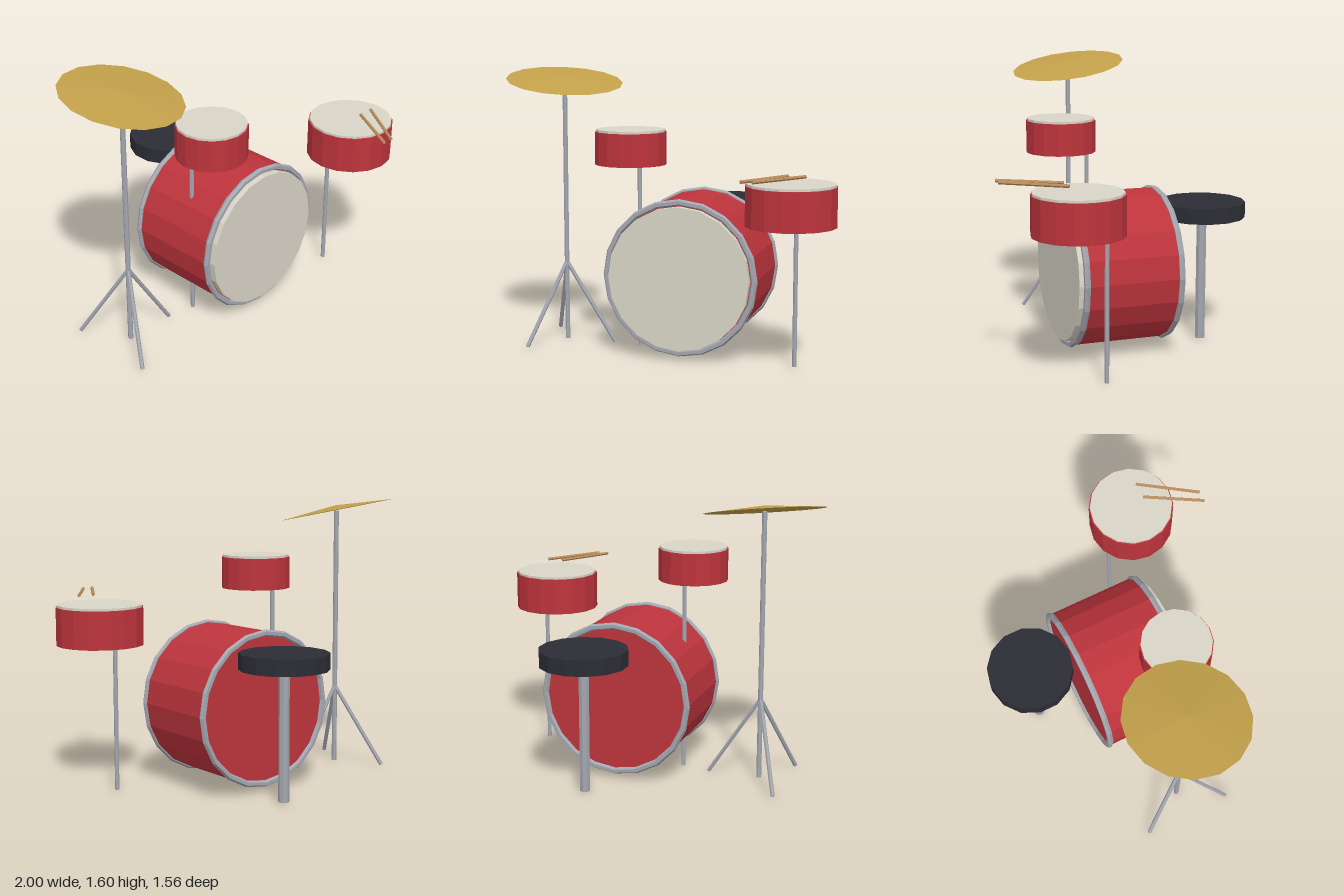
import * as THREE from 'three';

const mat = (name, color) => {
  const m = new THREE.MeshStandardMaterial({ color, flatShading: true });
  m.name = name;
  return m;
};

export function createModel() {
  const red = mat('red shell', 0xbd343c);
  const skin = mat('drum skin', 0xd8d4c6);
  const chrome = mat('chrome', 0xa3a6ae);
  const gold = mat('brass', 0xc2a04a);
  const black = mat('black vinyl', 0x2c2c35);
  const wood = mat('wood', 0xb98d5c);

  const kit = new THREE.Group();
  kit.name = 'drumKit';

  const add = (parent, name, geometry, material, x = 0, y = 0, z = 0) => {
    const mesh = new THREE.Mesh(geometry, material);
    mesh.name = name;
    mesh.position.set(x, y, z);
    parent.add(mesh);
    return mesh;
  };

  const group = (name) => {
    const g = new THREE.Group();
    g.name = name;
    kit.add(g);
    return g;
  };

  // Upright cylinder between two heights
  const upright = (parent, name, material, r, y0, y1, x, z, sides) =>
    add(parent, name, new THREE.CylinderGeometry(r, r, y1 - y0, sides), material, x, (y0 + y1) / 2, z);

  // Straight rod between two points
  const rod = (parent, name, material, r, from, to, sides) => {
    const a = new THREE.Vector3(...from);
    const b = new THREE.Vector3(...to);
    const mesh = add(parent, name, new THREE.CylinderGeometry(r, r, a.distanceTo(b), sides), material);
    mesh.position.copy(a).add(b).multiplyScalar(0.5);
    mesh.quaternion.setFromUnitVectors(new THREE.Vector3(0, 1, 0), b.sub(a).normalize());
    return mesh;
  };

  // Bass drum lying along z, with a hoop at each end
  const bass = group('bassDrum');
  bass.position.set(0.105, 0.47, 0);
  add(bass, 'bassShell', new THREE.CylinderGeometry(0.43, 0.43, 0.54, 20).rotateX(Math.PI / 2), red);
  add(bass, 'bassHead', new THREE.CylinderGeometry(0.404, 0.404, 0.04, 20).rotateX(Math.PI / 2), skin, 0, 0, 0.29);
  for (const z of [0.272, -0.272]) {
    add(bass, z > 0 ? 'frontHoop' : 'backHoop', new THREE.TorusGeometry(0.426, 0.0185, 6, 20), chrome, 0, 0, z);
  }

  // Toms, each on a single post set behind its centre
  const tom = (name, x, z, r, y0, y1, postZ) => {
    const g = group(name);
    upright(g, 'tomShell', red, r, y0, y1, x, z, 16);
    upright(g, 'tomHead', skin, r * 0.972, y1 - 0.01, y1 + 0.013, x, z, 16);
    upright(g, 'tomPost', chrome, 0.0125, 0.01, y0 + 0.01, x, postZ, 8);
  };
  tom('smallTom', -0.2, 0.193, 0.2, 1.09, 1.273, 0.037);
  tom('floorTom', 0.752, 0.393, 0.246, 0.814, 1.027, 0.24);

  // Cymbal on a tripod stand
  const cymbal = group('cymbalStand');
  const cx = -0.666, cz = 0.003;
  upright(cymbal, 'cymbalPost', chrome, 0.0145, 0.01, 1.535, cx, cz, 8);
  for (let i = 0; i < 3; i++) {
    const a = (i * 2 * Math.PI) / 3;
    rod(cymbal, 'tripodLeg', chrome, 0.012, [cx, 0.475, cz],
      [cx + 0.3 * Math.cos(a), 0.009, cz + 0.3 * Math.sin(a)], 6);
  }
  const plate = add(cymbal, 'cymbal', new THREE.ConeGeometry(0.338, 0.028, 16).translate(0, 0.014, 0), gold, cx, 1.54, cz);
  plate.rotation.set(0.165, 0, -0.115);

  // Stool behind the bass drum
  const stool = group('stool');
  upright(stool, 'seat', black, 0.246, 0.735, 0.824, 0.182, -0.532, 14);
  upright(stool, 'seatPost', chrome, 0.03, 0.01, 0.74, 0.182, -0.532, 8);

  // Pair of sticks above the floor tom
  const sticks = group('sticks');
  rod(sticks, 'stick', wood, 0.0095, [0.57, 1.088, 0.775], [0.748, 1.088, 0.468], 6);
  rod(sticks, 'stick', wood, 0.0095, [0.63, 1.088, 0.775], [0.84, 1.088, 0.468], 6);

  return kit;
}
